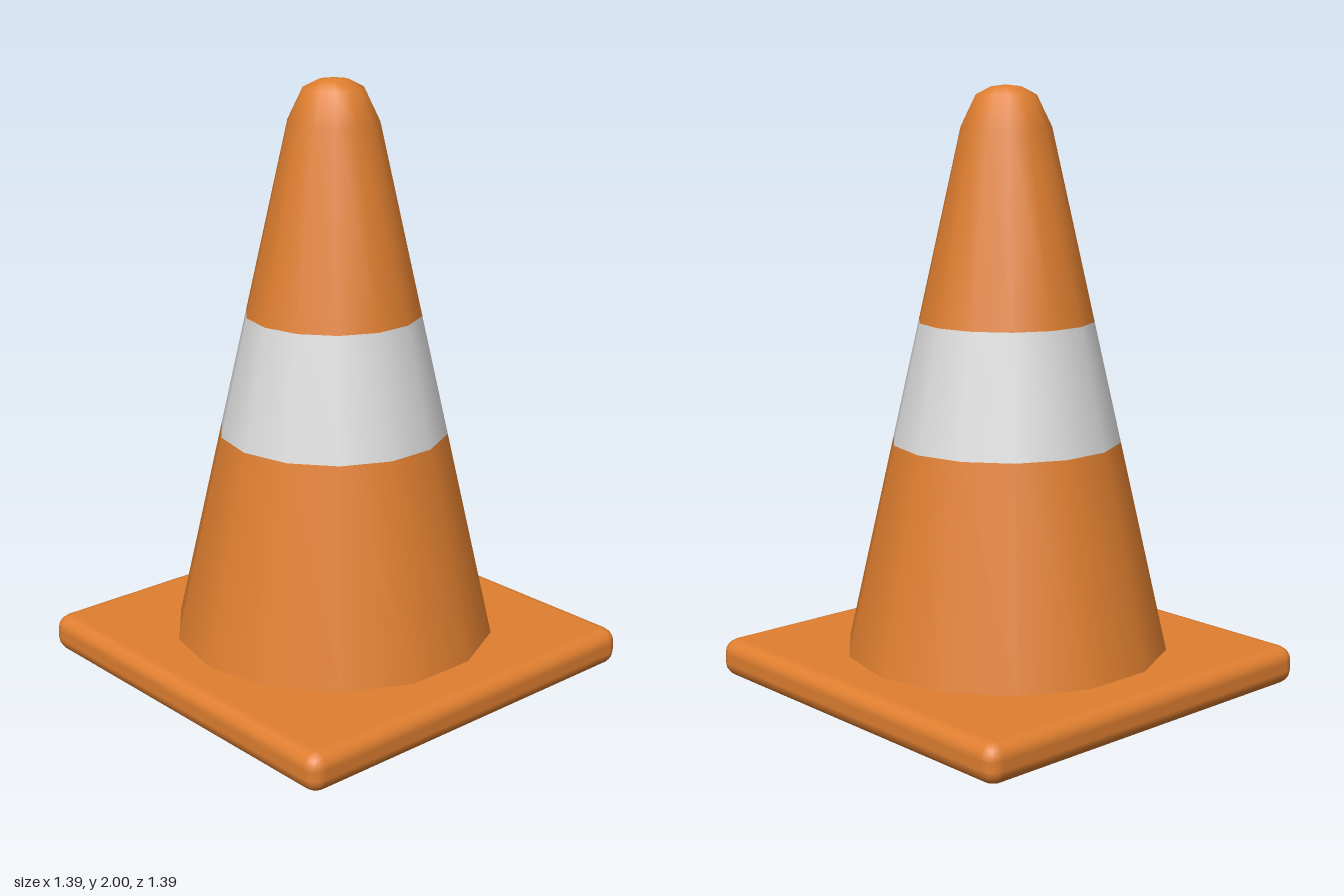
import * as THREE from 'three';
import { RoundedBoxGeometry } from 'three/addons/geometries/RoundedBoxGeometry.js';

const SIDES = 14;

export function createModel() {
  const model = new THREE.Group();
  model.name = 'trafficCone';

  const orange = new THREE.MeshStandardMaterial({ color: 0xe07f30 });
  orange.name = 'orange';
  const white = new THREE.MeshStandardMaterial({ color: 0xdddddd });
  white.name = 'white';

  const add = (name, geometry, material) => {
    const mesh = new THREE.Mesh(geometry, material);
    mesh.name = name;
    model.add(mesh);
    return mesh;
  };

  // Straight taper shared by all cone sections
  const onCone = (y) => [0.543 - 0.2265 * (y - 0.13), y];
  const lathe = (points) => new THREE.LatheGeometry(
    points.map(([r, y]) => new THREE.Vector2(r, y)), SIDES, Math.PI / 2);

  // Square foot with rounded edges
  add('base', new RoundedBoxGeometry(1.39, 0.13, 1.39, 2, 0.05), orange).position.y = 0.065;

  // Cone body, reflective band, and upper cone with rounded tip
  add('lowerCone', lathe([onCone(0.12), onCone(0.835)]), orange);
  add('reflectiveBand', lathe([onCone(0.835), onCone(1.235)]), white);
  add('upperCone', lathe([
    onCone(1.235), onCone(1.865), [0.1, 1.968], [0.05, 1.994], [0, 2],
  ]), orange);

  return model;
}
